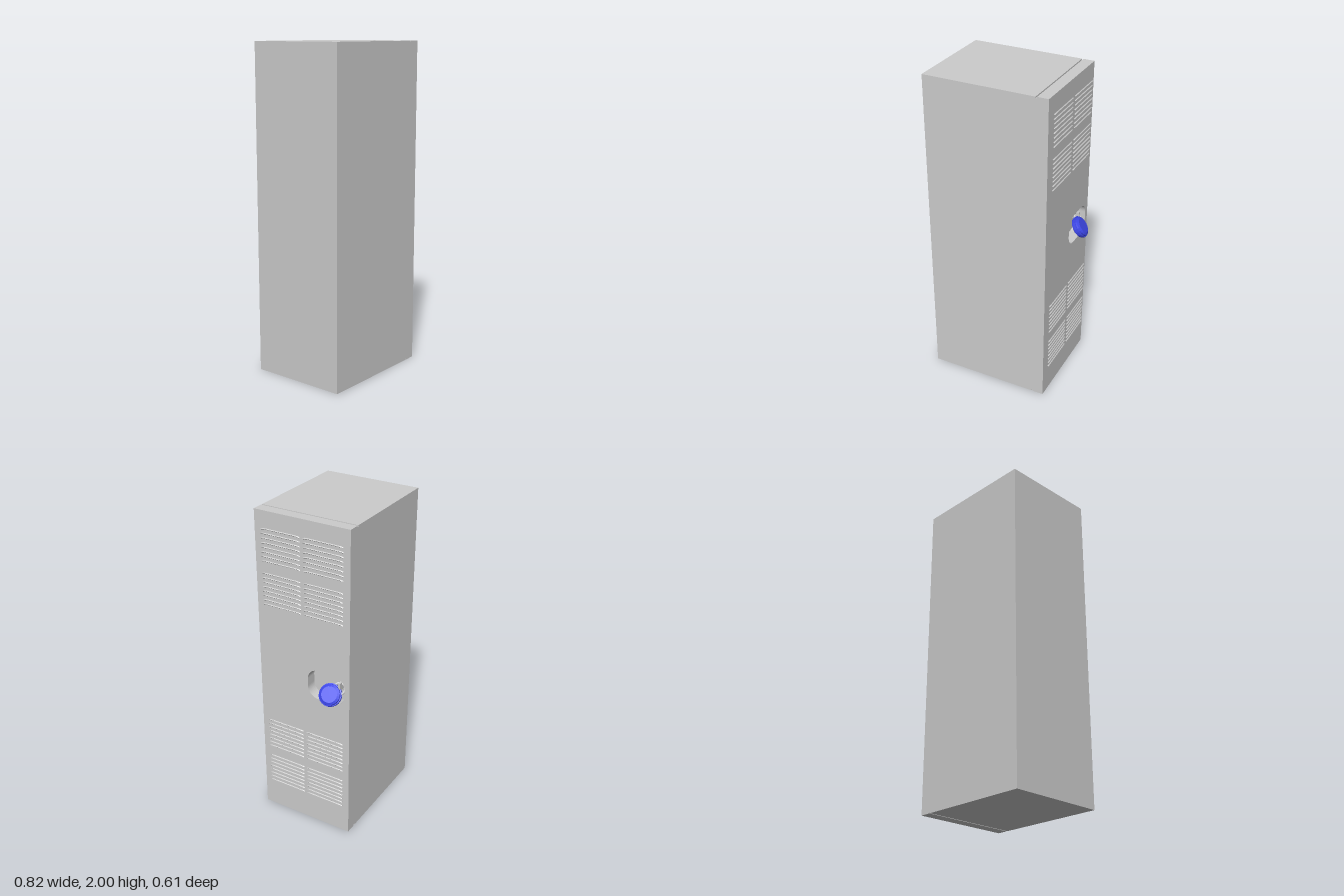
import * as THREE from 'three';

const grey = new THREE.MeshStandardMaterial({ color: 0xcccccc });
const greyFlat = new THREE.MeshStandardMaterial({ color: 0xcccccc, flatShading: true });
const blue = new THREE.MeshStandardMaterial({ color: 0x3c46e6, flatShading: true });

function add(parent, name, geometry, material, x = 0, y = 0, z = 0) {
  const mesh = new THREE.Mesh(geometry, material);
  mesh.name = name;
  mesh.position.set(x, y, z);
  parent.add(mesh);
  return mesh;
}

// Door panel in the side plane (shape x runs towards -z), with a rounded lock opening
function doorGeometry(w, h, depth) {
  const shape = new THREE.Shape();
  shape.moveTo(-w / 2, 0).lineTo(w / 2, 0).lineTo(w / 2, h).lineTo(-w / 2, h).closePath();
  const [l, r, b, t, c] = [0.026, 0.273, 0.908, 1.098, 0.07];
  const hole = new THREE.Path();
  hole.moveTo(l + c, b);
  hole.absarc(r - c, b + c, c, -Math.PI / 2, 0);
  hole.absarc(r - c, t - c, c, 0, Math.PI / 2);
  hole.absarc(l + c, t - c, c, Math.PI / 2, Math.PI);
  hole.absarc(l + c, b + c, c, Math.PI, Math.PI * 1.5);
  shape.holes.push(hole);
  return new THREE.ExtrudeGeometry(shape, { depth, bevelEnabled: false, curveSegments: 8 })
    .rotateY(Math.PI / 2);
}

// Louvre slat: thin bar whose ends bend back and down towards the door
function slatGeometry(length) {
  const e = length / 2;
  const points = [[-e, 0], [-e + 0.012, 0.75], [-e + 0.03, 1], [e - 0.03, 1], [e - 0.012, 0.75], [e, 0]]
    .map(([z, k]) => new THREE.Vector3(0.0045 * k - 0.0025, 0.006 * k - 0.003, z));
  const path = new THREE.CurvePath();
  for (let i = 1; i < points.length; i++) path.add(new THREE.LineCurve3(points[i - 1], points[i]));
  return new THREE.TubeGeometry(path, 40, 0.0042, 4, false);
}

function createPadlock() {
  const lock = new THREE.Group();
  lock.name = 'padlock';
  // Round body with bevelled rims and a raised middle band
  const profile = [[0, -0.026], [0.048, -0.026], [0.062, -0.018], [0.063, -0.009], [0.069, -0.007],
    [0.069, 0.007], [0.063, 0.009], [0.062, 0.018], [0.048, 0.026], [0, 0.026]]
    .map(([x, y]) => new THREE.Vector2(x, y));
  add(lock, 'lockBody', new THREE.LatheGeometry(profile, 20), blue);
  // Shackle ring hooks from the rim into the recess
  const shackle = add(lock, 'shackle', new THREE.TorusGeometry(0.034, 0.007, 8, 20), grey, -0.045, 0, -0.045);
  shackle.rotation.x = Math.PI / 2;
  // Hang tilted against the door: local y faces outward, local -x points up
  const normal = new THREE.Vector3(0.8, 0.58, -0.15).normalize();
  const down = new THREE.Vector3(0, -1, 0).addScaledVector(normal, normal.y).normalize();
  const side = new THREE.Vector3().crossVectors(down, normal);
  lock.quaternion.setFromRotationMatrix(new THREE.Matrix4().makeBasis(down, normal, side));
  lock.position.set(0.355, 0.97, -0.183);
  return lock;
}

export function createModel() {
  const model = new THREE.Group();
  model.name = 'locker';

  // Cabinet, and a slightly lower strip that leaves a groove before the door
  add(model, 'cabinet', new THREE.BoxGeometry(0.689, 2, 0.61), grey, -0.0725, 1, 0);
  add(model, 'grooveStrip', new THREE.BoxGeometry(0.008, 1.984, 0.61), grey, 0.276, 1, 0);
  add(model, 'door', doorGeometry(0.61, 2, 0.068), grey, 0.28, 0, 0);

  // Four rows of louvres, two columns each
  const slat = slatGeometry(0.249);
  for (const bottom of [0.198, 0.463, 1.443, 1.708]) {
    for (const z of [-0.142, 0.131]) {
      const vent = new THREE.Group();
      vent.name = 'vent';
      for (let i = 0; i < 8; i++) add(vent, 'slat', slat, greyFlat, 0.36, bottom + i * 0.0272, z);
      model.add(vent);
    }
  }

  // Hasp plate in the recess that the padlock hangs from
  add(model, 'hasp', new THREE.BoxGeometry(0.05, 0.05, 0.012), grey, 0.305, 1.02, -0.225);
  model.add(createPadlock());
  return model;
}
